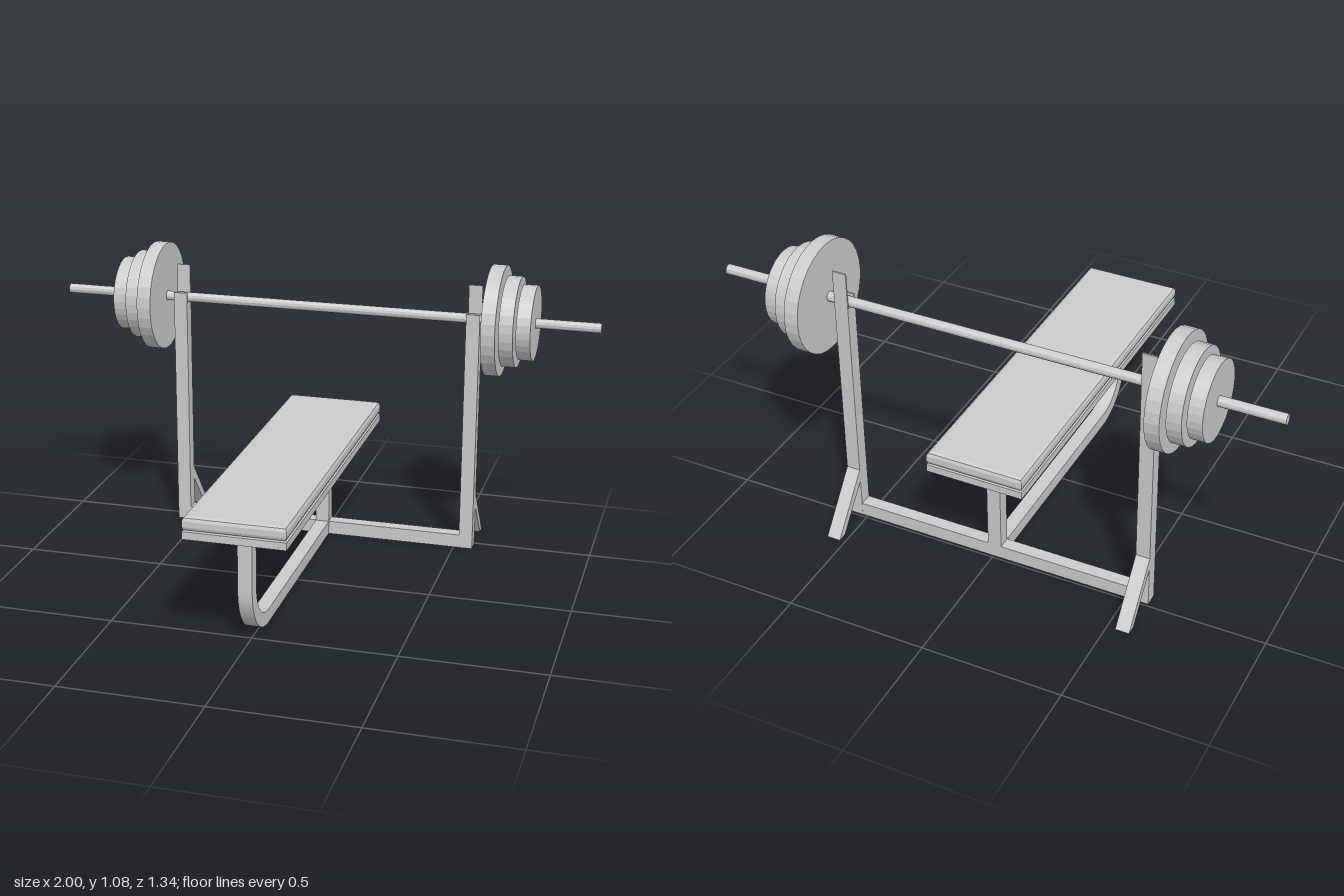
import * as THREE from 'three';

const material = new THREE.MeshStandardMaterial({ color: 0xcccccc, flatShading: true });
const T = 0.05;          // tube thickness
const CX = -0.005;       // frame centre line
const RACK_Z = -0.467;   // plane of the uprights and bar
const BAR_Y = 0.882;

function add(parent, name, geometry, x = 0, y = 0, z = 0) {
  const mesh = new THREE.Mesh(geometry, material);
  mesh.name = name;
  mesh.position.set(x, y, z);
  parent.add(mesh);
  return mesh;
}

// Extrudes a side outline of [z, y] points across x, centred on x = 0
function sideExtrude(shape, width) {
  const g = new THREE.ExtrudeGeometry(shape, { depth: width, bevelEnabled: false, curveSegments: 10 });
  g.translate(0, 0, -width / 2);
  g.rotateY(-Math.PI / 2);
  return g;
}

const outline = (points) => new THREE.Shape(points.map(([z, y]) => new THREE.Vector2(z, y)));

export function createModel() {
  const model = new THREE.Group();
  model.name = 'weightBench';

  // Padded bench
  const board = new THREE.BoxGeometry(0.35, 0.027, 1.296);
  add(model, 'benchBoard', board, CX, 0.42, 0.022);
  const b = 0.015, w = 0.175 - b, l = 0.648 - b;
  const pad = new THREE.ExtrudeGeometry(outline([[-w, -l], [w, -l], [w, l], [-w, l]]), {
    depth: 0.02, bevelThickness: b, bevelSize: b, bevelSegments: 2,
  });
  pad.rotateX(-Math.PI / 2);
  add(model, 'benchCushion', pad, CX, 0.434 + b, 0.022);

  // Bent front leg running back into the crossbar
  const bend = new THREE.Shape();
  bend.moveTo(0.555, 0.407);
  bend.lineTo(0.506, 0.407);
  bend.lineTo(0.506, 0.19);
  bend.absarc(0.365, 0.19, 0.141, 0, -Math.PI / 2, true);
  bend.lineTo(-0.445, 0.049);
  bend.lineTo(-0.445, 0);
  bend.lineTo(0.365, 0);
  bend.absarc(0.365, 0.19, 0.19, -Math.PI / 2, 0, false);
  add(model, 'frontLegAndSpine', sideExtrude(bend, T), CX);

  // Rear post and crossbar
  add(model, 'rearPost', new THREE.BoxGeometry(T, 0.36, 0.047), CX, 0.227, RACK_Z);
  add(model, 'crossbar', new THREE.BoxGeometry(1.1, T, 0.047), CX, T / 2, RACK_Z);

  // Uprights with a cradle for the bar, and slanted rear braces
  const upright = sideExtrude(outline([
    [-0.443, 0], [-0.443, 0.902], [-0.449, 0.902], [-0.449, 0.864],
    [-0.485, 0.864], [-0.485, 1], [-0.491, 1], [-0.491, 0],
  ]), T);
  const brace = sideExtrude(outline([[-0.49, 0.2], [-0.65, 0], [-0.614, 0], [-0.49, 0.152]]), T);

  // Barbell
  const bar = new THREE.CylinderGeometry(0.018, 0.018, 2, 12);
  bar.rotateZ(Math.PI / 2);
  add(model, 'bar', bar, 0, BAR_Y, RACK_Z);
  const plates = [[0.199, 0.633], [0.163, 0.69], [0.135, 0.747]];

  for (const side of [1, -1]) {
    const label = side > 0 ? 'left' : 'right';
    add(model, label + 'Upright', upright, CX + side * 0.55);
    add(model, label + 'Brace', brace, CX + side * 0.55);
    for (const [radius, x] of plates) {
      const disc = new THREE.CylinderGeometry(radius, radius, 0.051, 32);
      disc.rotateZ(Math.PI / 2);
      add(model, label + 'WeightPlate', disc, CX + side * x, BAR_Y, RACK_Z);
    }
  }
  return model;
}
